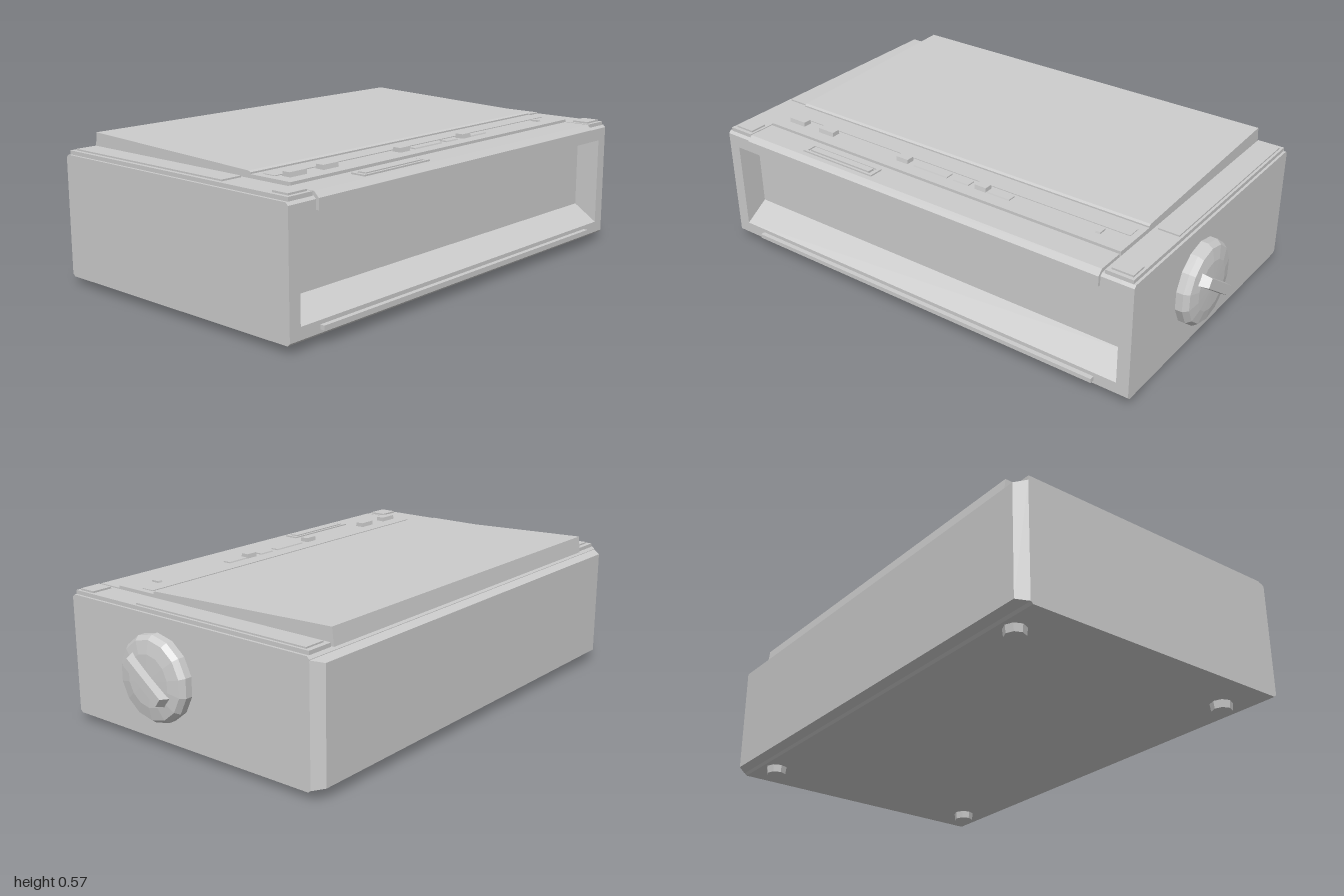
import * as THREE from 'three';

const material = new THREE.MeshStandardMaterial({ color: 0xcccccc, flatShading: true });

export function createModel() {
  const model = new THREE.Group();

  const add = (name, geometry) => {
    const mesh = new THREE.Mesh(geometry, material);
    mesh.name = name;
    model.add(mesh);
    return mesh;
  };

  // Box given by its limits on each axis
  const block = (name, x0, x1, y0, y1, z0, z1) => {
    const mesh = add(name, new THREE.BoxGeometry(x1 - x0, y1 - y0, z1 - z0));
    mesh.position.set((x0 + x1) / 2, (y0 + y1) / 2, (z0 + z1) / 2);
    return mesh;
  };

  // Outline in x, y carried along z
  const slab = (name, points, z0, z1) => {
    const shape = new THREE.Shape(points.map(([x, y]) => new THREE.Vector2(x, y)));
    const geometry = new THREE.ExtrudeGeometry(shape, { depth: z1 - z0, bevelEnabled: false });
    return add(name, geometry.translate(0, 0, z0));
  };

  // Case: full ends and a middle section hollowed by the side bay with a sloping floor
  const left = [[0.58, 0.5], [-0.56, 0.5], [-0.57, 0.49], [-0.57, 0.04], [-0.56, 0.03]];
  const lower = [[0.58, 0.03], [0.59, 0.04]];
  const bay = [[0.59, 0.085], [0.49, 0.15], [0.49, 0.44], [0.59, 0.44]];
  slab('caseFrontEnd', [...lower, [0.59, 0.49], ...left], 0.94, 0.99);
  slab('caseMiddle', [...lower, ...bay, [0.59, 0.49], ...left], -0.86, 0.94);
  slab('caseBackEnd', [...lower, [0.59, 0.49], ...left], -0.91, -0.86);

  // Base panel, narrowing outward along the -x side
  const base = new THREE.BoxGeometry(0.04, 0.45, 1.9);
  const p = base.attributes.position;
  for (let i = 0; i < p.count; i++) {
    if (p.getX(i) < 0) p.setXYZ(i, p.getX(i), p.getY(i) * 0.96, p.getZ(i) * 0.965);
  }
  base.computeVertexNormals();
  add('sidePanel', base).position.set(-0.59, 0.263, 0.04);

  // Raised decks across both ends of the top, with pads
  for (const [z0, z1] of [[0.87, 0.98], [-0.9, -0.79]]) {
    block('endDeck', -0.56, 0.58, 0.49, 0.515, z0, z1);
    block('longPad', -0.54, 0.26, 0.51, 0.521, z0 + 0.01, z1 - 0.015);
    block('cornerPad', 0.495, 0.565, 0.51, 0.522, z0 + 0.01, z1 - 0.015);
  }

  // Sloping lid
  slab('lid', [[-0.568, 0.5], [0.285, 0.5], [0.285, 0.532], [0.275, 0.537], [-0.56, 0.567]], -0.785, 0.86);

  // Control panel and the edge panel that folds over the side
  block('controlPanel', 0.28, 0.472, 0.49, 0.526, -0.785, 0.86);
  slab('edgePanel', [[0.47, 0.49], [0.585, 0.49], [0.585, 0.455], [0.602, 0.455], [0.602, 0.495], [0.582, 0.515], [0.47, 0.515]],
    -0.78, 0.865);
  block('displayStrip', 0.315, 0.37, 0.52, 0.529, -0.76, 0.83);

  // Buttons: z start, z end, top height
  const buttons = [
    [-0.67, -0.65, 0.533], [-0.285, -0.185, 0.531], [-0.18, -0.13, 0.543], [-0.1, -0.03, 0.531],
    [0, 0.16, 0.531], [0.19, 0.245, 0.543], [0.575, 0.65, 0.543], [0.73, 0.81, 0.543],
  ];
  for (const [z0, z1, top] of buttons) {
    slab('button', [[0.382, 0.52], [0.422, 0.52], [0.418, top], [0.386, top]], z0, z1);
  }

  // Latch with its frame
  block('latchFrame', 0.5, 0.51, 0.51, 0.521, 0.25, 0.6);
  block('latchFrame', 0.55, 0.56, 0.51, 0.521, 0.25, 0.6);
  block('latchFrame', 0.51, 0.55, 0.51, 0.521, 0.25, 0.265);
  block('latchFrame', 0.51, 0.55, 0.51, 0.521, 0.585, 0.6);
  block('latch', 0.516, 0.544, 0.51, 0.523, 0.275, 0.575);

  // Lip below the side bay
  block('sideLip', 0.585, 0.609, 0.053, 0.07, -0.77, 0.85);

  // Round dial at the back with a tapered diagonal grip
  const profile = [[0.165, 0], [0.165, 0.03], [0.15, 0.05], [0.1, 0.06], [0, 0.063]];
  const dial = add('dial', new THREE.LatheGeometry(profile.map(([r, y]) => new THREE.Vector2(r, y)), 14));
  dial.rotation.x = -Math.PI / 2;
  dial.position.set(0.13, 0.275, -0.908);
  const grip = new THREE.BoxGeometry(0.235, 0.05, 0.05);
  const g = grip.attributes.position;
  for (let i = 0; i < g.count; i++) {
    if (g.getZ(i) < 0) g.setXYZ(i, g.getX(i) * 0.85, g.getY(i) * 0.75, g.getZ(i));
  }
  grip.computeVertexNormals();
  const handle = add('dialGrip', grip);
  handle.position.set(0.13, 0.28, -0.975);
  handle.rotation.z = 0.63;

  // Feet
  for (const x of [-0.503, 0.473]) {
    for (const z of [0.83, -0.75]) {
      add('foot', new THREE.CylinderGeometry(0.043, 0.039, 0.035, 8)).position.set(x, 0.0175, z);
    }
  }

  return model;
}
